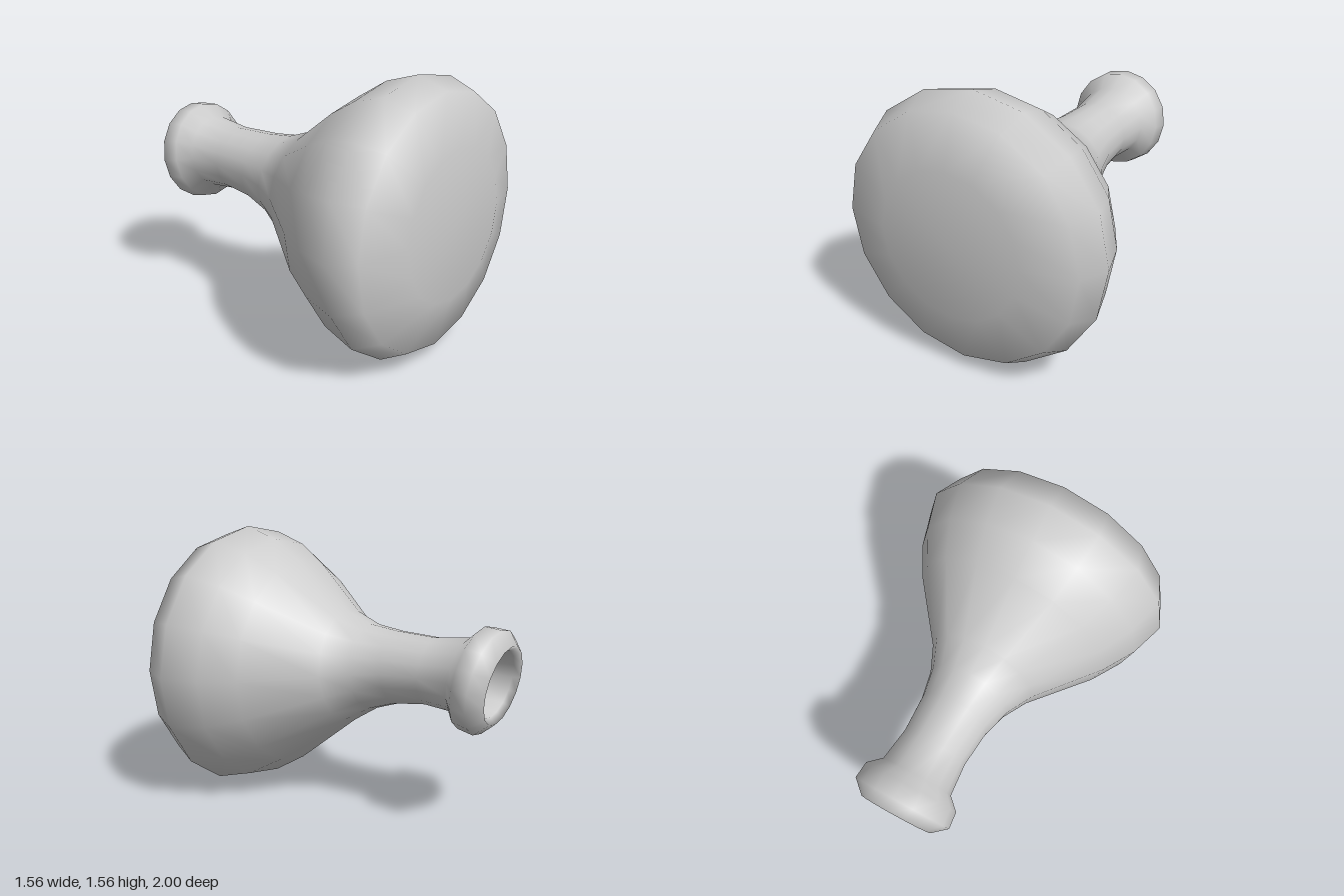
import * as THREE from 'three';

const SIDES = 16;

// Each ring: [top z, top y, bottom z, bottom y, half width]; the rings tilt as the neck bends.
const outer = [
  [1, 0.8, 1, 0.8, 0],
  [1, 1.22, 1, 0.38, 0.42],
  [0.91, 1.5, 0.91, 0.08, 0.705],
  [0.74, 1.56, 0.765, 0, 0.78],
  [0.54, 1.495, 0.55, 0.06, 0.715],
  [0.36, 1.38, 0.35, 0.18, 0.605],
  [0.03, 1.12, -0.03, 0.48, 0.325],
  [-0.13, 1.06, -0.18, 0.575, 0.25],
  [-0.3, 1.04, -0.34, 0.63, 0.21],
  [-0.55, 1.03, -0.53, 0.655, 0.195],
  [-0.76, 1.055, -0.7, 0.64, 0.215],
  [-0.84, 1.125, -0.75, 0.555, 0.285],
  [-0.94, 1.115, -0.84, 0.535, 0.295],
  [-1, 1.035, -0.92, 0.6, 0.215],
];
// Inside of the mouth, from the rim inwards
const mouth = [
  [-0.96, 1.01, -0.89, 0.635, 0.185],
  [-0.78, 1.0, -0.71, 0.66, 0.17],
];
const floor = [mouth[1], [-0.745, 0.83, -0.745, 0.83, 0]];

// Skin a list of tilted elliptical rings
function loft(rings) {
  const pos = [], index = [];
  rings.forEach(([zt, yt, zb, yb, w], r) => {
    for (let i = 0; i < SIDES; i++) {
      const a = (i / SIDES) * Math.PI * 2, c = Math.cos(a);
      pos.push(w * Math.sin(a), (yt + yb) / 2 + (c * (yt - yb)) / 2, (zt + zb) / 2 + (c * (zt - zb)) / 2);
      if (r === rings.length - 1) continue;
      const p = r * SIDES + i, q = r * SIDES + ((i + 1) % SIDES);
      index.push(p, q, q + SIDES, p, q + SIDES, p + SIDES);
    }
  });
  const g = new THREE.BufferGeometry();
  g.setAttribute('position', new THREE.Float32BufferAttribute(pos, 3));
  g.setIndex(index);
  g.computeVertexNormals();
  return g;
}

export function createModel() {
  const group = new THREE.Group();
  group.name = 'flask';
  const material = new THREE.MeshStandardMaterial({ color: 0xcccccc, side: THREE.DoubleSide });
  const add = (name, rings) => {
    const mesh = new THREE.Mesh(loft(rings), material);
    mesh.name = name;
    group.add(mesh);
  };
  // Bulb, neck, lip and the hollow of the mouth in one smooth skin
  add('flaskBody', [...outer, ...mouth]);
  // Flat stop inside the neck
  add('mouthFloor', floor);
  return group;
}
